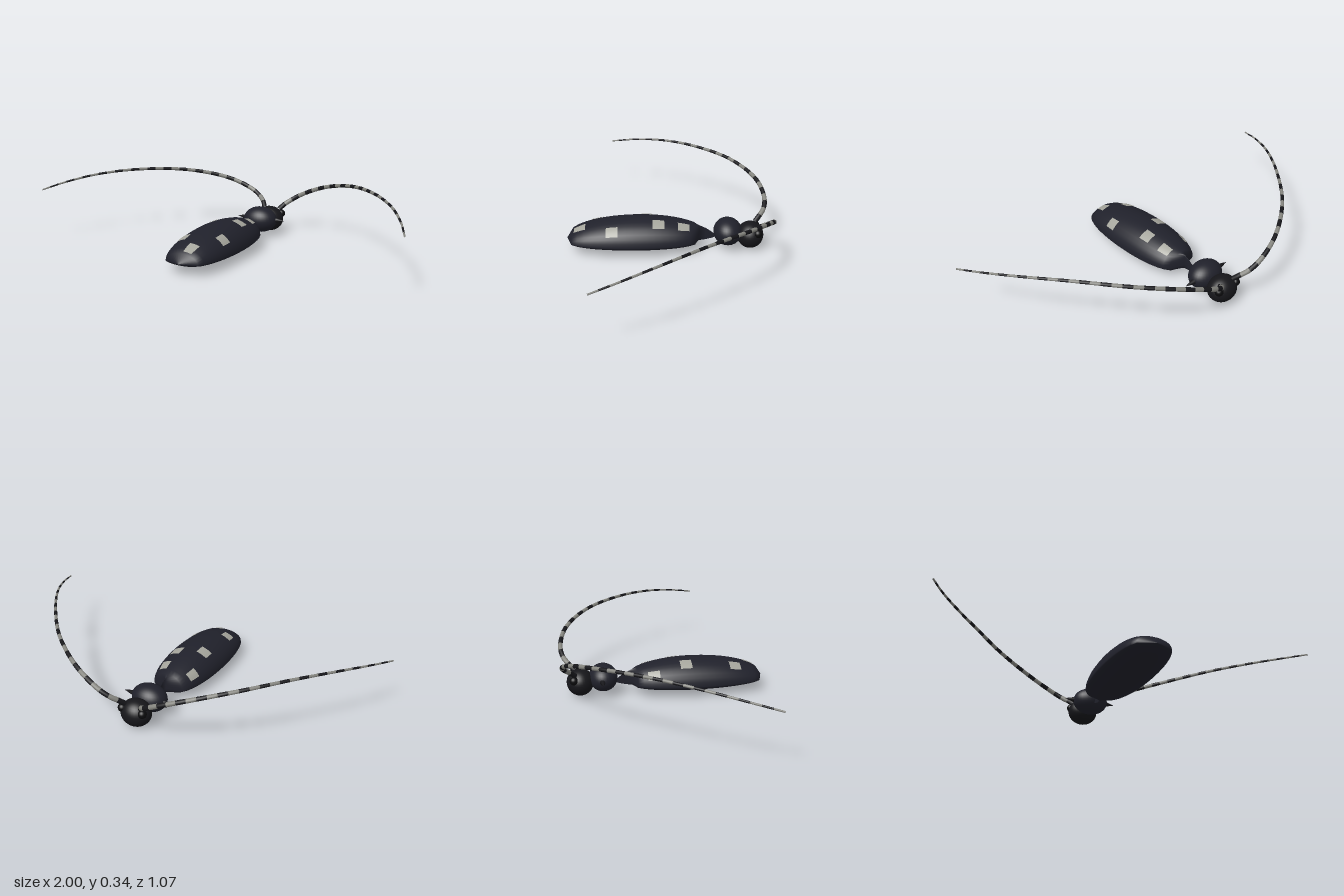
import * as THREE from 'three';
import { mergeGeometries } from 'three/addons/utils/BufferGeometryUtils.js';

const mat = (color) => new THREE.MeshStandardMaterial({ color });
const shell = mat(0x20212b), dark = mat(0x16161a), black = mat(0x0b0b0d);
const pale = mat(0xa5a59c), grey = mat(0x85857f);

function add(group, name, geometry, material, x = 0, y = 0, z = 0) {
  const m = new THREE.Mesh(geometry, material);
  m.name = name;
  m.position.set(x, y, z);
  group.add(m);
  return m;
}

// Point on the wing case at length z and angle a (0 = left side, PI/2 = top).
// It is domed above, shallow below, and pinches to a thin keel at the head end.
function bodyPoint(z, a, lift) {
  const u = (z - 0.14) / 0.39, v = (z - 0.1825) / 0.3475;
  const h = Math.pow(Math.max(0, 1 - u * u), u < 0 ? 0.62 : 0.5);
  const w = 0.145 * Math.pow(Math.max(0, 1 - v * v), 0.27);
  const s = Math.sin(a);
  return [Math.cos(a) * (w + lift), 0.06 + s * (h * (s > 0 ? 0.115 : 0.04) + lift), z];
}

// Skin over a grid of lengths and angles
function bodySkin(zs, as, closed, lift = 0) {
  const pos = [], index = [], n = as.length;
  for (const z of zs) for (const a of as) pos.push(...bodyPoint(z, a, lift));
  for (let i = 0; i < zs.length - 1; i++) {
    for (let j = 0; j < (closed ? n : n - 1); j++) {
      const k = (j + 1) % n, p = i * n, q = p + n;
      index.push(p + j, p + k, q + j, p + k, q + k, q + j);
    }
  }
  const g = new THREE.BufferGeometry();
  g.setAttribute('position', new THREE.Float32BufferAttribute(pos, 3));
  g.setIndex(index);
  g.computeVertexNormals();
  return g;
}

const range = (n, from, to) => Array.from({ length: n + 1 }, (_, i) => from + (to - from) * i / n);

// Stretch of a tapering tube along a curve, from t0 to t1
function feelerPiece(curve, t0, t1) {
  const rings = 4, sides = 10, pos = [], index = [];
  for (let i = 0; i <= rings; i++) {
    const t = t0 + (t1 - t0) * i / rings, r = 0.0135 - 0.0095 * t;
    const c = curve.getPointAt(t), d = curve.getTangentAt(t);
    const e1 = new THREE.Vector3(0, 1, 0).cross(d).normalize();
    const e2 = d.clone().cross(e1);
    for (let j = 0; j < sides; j++) {
      const a = j / sides * Math.PI * 2;
      const p = c.clone().addScaledVector(e1, r * Math.cos(a)).addScaledVector(e2, r * Math.sin(a));
      pos.push(p.x, p.y, p.z);
    }
  }
  for (let i = 0; i < rings; i++) {
    for (let j = 0; j < sides; j++) {
      const k = (j + 1) % sides, p = i * sides, q = p + sides;
      index.push(p + j, p + k, q + j, p + k, q + k, q + j);
    }
  }
  const g = new THREE.BufferGeometry();
  g.setAttribute('position', new THREE.Float32BufferAttribute(pos, 3));
  g.setIndex(index);
  g.computeVertexNormals();
  return g;
}

export function createModel() {
  const beetle = new THREE.Group();
  beetle.name = 'longhornBeetle';

  // Wing case
  const zs = [-0.25, -0.235, -0.2, -0.165, -0.14, ...range(16, -0.11, 0.47), 0.5, 0.53];
  add(beetle, 'wingCase', bodySkin(zs, range(31, 0, Math.PI * 2 * 31 / 32), true), shell);

  // Pale spots: [z, angle]
  const spots = [[-0.08, 1.05], [0.05, 1.09], [0.29, 0.75], [0.46, 1.3],
    [-0.06, 2.5], [0.11, 2.07], [0.37, 2.13]];
  for (const [z, a] of spots) {
    add(beetle, 'paleSpot', bodySkin(range(4, z - 0.03, z + 0.03), range(6, a - 0.23, a + 0.23), false, 0.0025), pale);
  }

  // Thorax and head
  const ball = new THREE.SphereGeometry(1, 32, 20);
  add(beetle, 'thorax', ball, shell, 0, 0.09, -0.314).scale.set(0.095, 0.071, 0.075);
  add(beetle, 'head', ball, dark, 0, 0.07, -0.433).scale.set(0.08, 0.07, 0.07);

  // Feeler path on the left side
  const path = [[0.045, 0.12, -0.46], [0.065, 0.145, -0.485], [0.1, 0.172, -0.512],
    [0.16, 0.208, -0.525], [0.3, 0.267, -0.495], [0.5, 0.317, -0.37], [0.7, 0.337, -0.16],
    [0.85, 0.327, 0.04], [0.94, 0.303, 0.2], [0.998, 0.276, 0.335]];

  for (const side of [1, -1]) {
    const label = side > 0 ? 'left' : 'right';

    // Thorax spine and eye
    const spine = add(beetle, label + 'Spine', new THREE.ConeGeometry(0.017, 0.065, 12), dark, side * 0.112, 0.092, -0.323);
    spine.rotation.z = -side * Math.PI / 2;
    add(beetle, label + 'Eye', ball, black, side * 0.058, 0.097, -0.467).scale.setScalar(0.022);

    // Banded feeler
    const curve = new THREE.CatmullRomCurve3(path.map(([x, y, z]) => new THREE.Vector3(side * x, y, z)));
    const bands = [[], []], count = 30;
    for (let i = 0; i < count; i++) {
      bands[i % 2].push(feelerPiece(curve, i / count, (i + 1) / count));
    }
    add(beetle, label + 'FeelerDarkBands', mergeGeometries(bands[0]), dark);
    add(beetle, label + 'FeelerGreyBands', mergeGeometries(bands[1]), grey);
  }
  return beetle;
}
